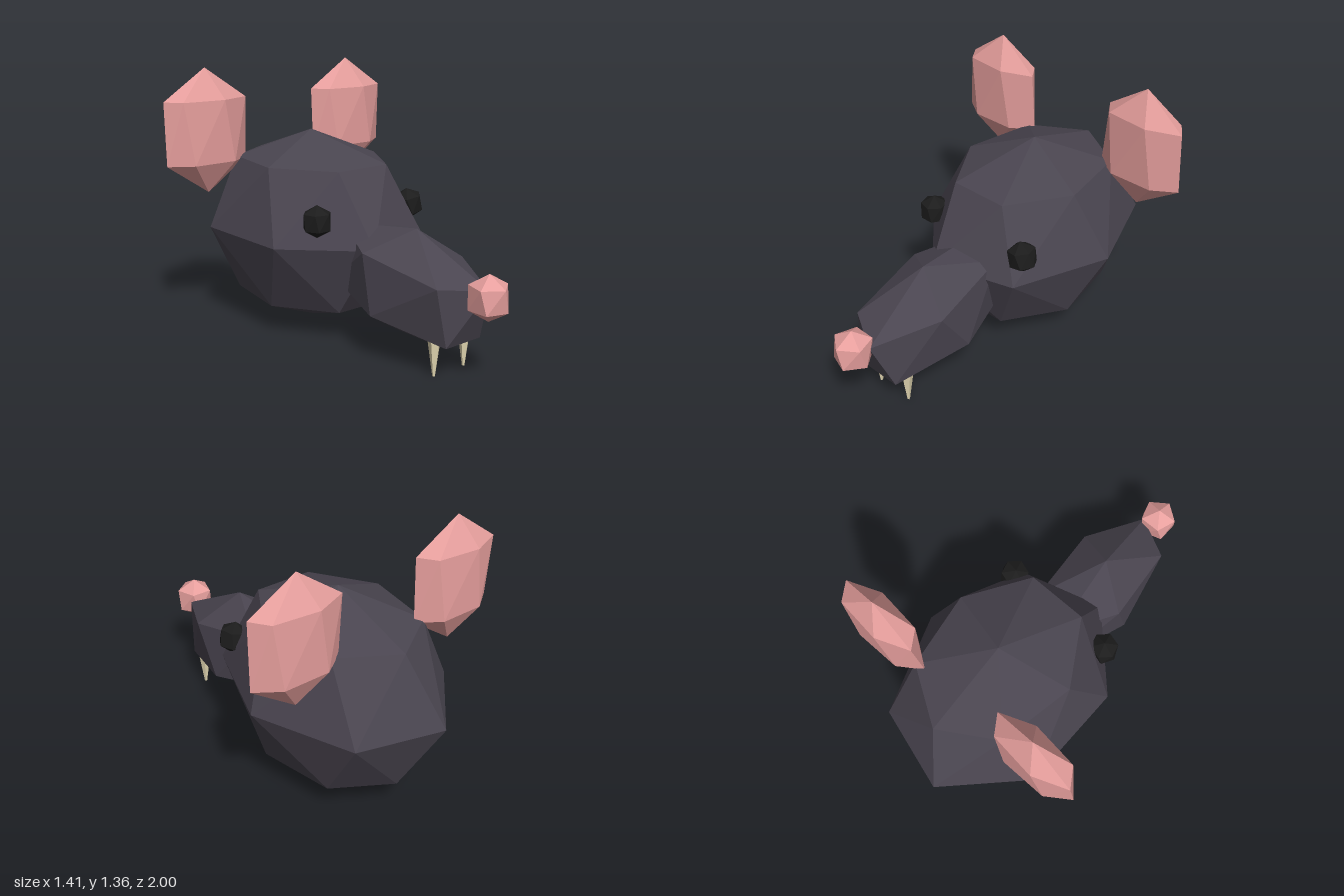
import * as THREE from 'three';
import { ConvexGeometry } from 'three/addons/geometries/ConvexGeometry.js';

const fur = new THREE.MeshStandardMaterial({ color: 0x4a4550 });
fur.name = 'darkFur';
const pink = new THREE.MeshStandardMaterial({ color: 0xe8a09e });
pink.name = 'pinkSkin';
const black = new THREE.MeshStandardMaterial({ color: 0x1c1c1c });
black.name = 'eyeBlack';
const ivory = new THREE.MeshStandardMaterial({ color: 0xe6dab4 });
ivory.name = 'toothIvory';

// Faceted ellipsoid: poles on y, odd rings twisted by a quarter step
function blob(sides, bands, rx, ry, rz) {
  const points = [new THREE.Vector3(0, ry, 0), new THREE.Vector3(0, -ry, 0)];
  for (let ring = 1; ring < bands; ring++) {
    const polar = (ring / bands) * Math.PI;
    for (let i = 0; i < sides; i++) {
      const a = ((i + (ring % 2) * 0.25) / sides) * Math.PI * 2;
      points.push(new THREE.Vector3(
        rx * Math.sin(polar) * Math.cos(a),
        ry * Math.cos(polar),
        rz * Math.sin(polar) * Math.sin(a)));
    }
  }
  return new ConvexGeometry(points);
}

export function createModel() {
  const model = new THREE.Group();
  model.name = 'animalHead';

  function add(name, geometry, material, x, y, z) {
    const mesh = new THREE.Mesh(geometry, material);
    mesh.name = name;
    mesh.position.set(x, y, z);
    model.add(mesh);
    return mesh;
  }

  // Skull and the long drooping snout
  add('skull', blob(7, 4, 0.512, 0.513, 0.653), fur, 0, 0.518, -0.363);
  const muzzle = add('muzzle', blob(6, 3, 0.261, 0.277, 0.535), fur, 0, 0.377, 0.39);
  muzzle.rotation.x = 0.19;
  add('nose', blob(5, 3, 0.11, 0.112, 0.11), pink, 0, 0.423, 0.905);

  // Paired parts
  const earShape = blob(6, 3, 0.275, 0.325, 0.108);
  const eyeShape = blob(6, 3, 0.081, 0.082, 0.081);
  const toothShape = new THREE.CylinderGeometry(0.033, 0.007, 0.18, 5).toNonIndexed();
  toothShape.computeVertexNormals();
  for (const [side, s] of [['left', 1], ['right', -1]]) {
    add(side + 'Ear', earShape, pink, s * 0.468, 1.035, -0.64);
    const eye = add(side + 'Eye', eyeShape, black, s * 0.304, 0.66, 0.065);
    if (s > 0) eye.rotation.z = 0.2;
    add(side + 'Fang', toothShape, ivory, s * 0.1, 0.092, 0.67);
  }
  return model;
}
